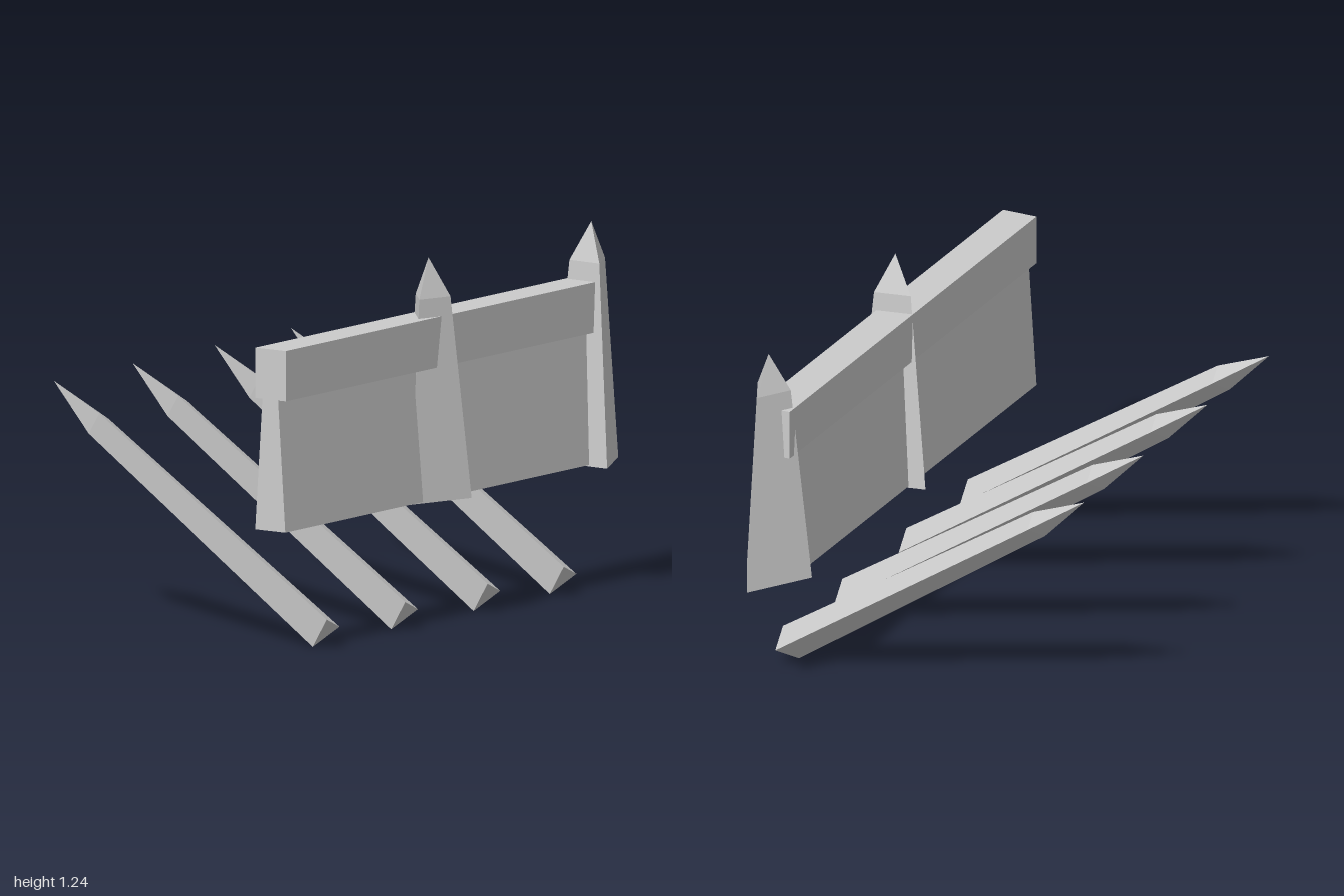
import * as THREE from 'three';

const material = new THREE.MeshStandardMaterial({ color: 0xcccccc, flatShading: true });

// Three-sided stake: tapered shaft with a pointed tip, standing on its base
function stake(name, radius, topScale, shoulder, height, turn) {
  const profile = [[0, 0], [radius, 0], [radius * topScale, shoulder], [0, height]]
    .map(([x, y]) => new THREE.Vector2(x, y));
  const geometry = new THREE.LatheGeometry(profile, 3, THREE.MathUtils.degToRad(turn));
  const mesh = new THREE.Mesh(geometry, material);
  mesh.name = name;
  return mesh;
}

// Beam along x with a (z, y) cross-section
function beam(name, section, xMin, xMax) {
  const shape = new THREE.Shape(section.map(([z, y]) => new THREE.Vector2(z, y)));
  const geometry = new THREE.ExtrudeGeometry(shape, { depth: xMax - xMin, bevelEnabled: false });
  geometry.rotateY(-Math.PI / 2).translate(xMax, 0, 0);
  const mesh = new THREE.Mesh(geometry, material);
  mesh.name = name;
  return mesh;
}

export function createModel() {
  const model = new THREE.Group();
  model.name = 'spikedBarricade';

  // Wall panel, thicker at the foot, under a square top rail
  model.add(beam('wallPanel', [[0.4, 0.425], [0.525, 0.425], [0.495, 0.88], [0.43, 0.88]], -1, 0.85));
  model.add(beam('topRail', [[0.4, 0.877], [0.527, 0.877], [0.527, 1.05], [0.4, 1.05]], -1, 0.85));

  // Upright posts: one mid-wall, one at the end, turned differently
  for (const [name, x, turn] of [['middlePost', -0.1, 41], ['endPost', 0.85, 87]]) {
    const post = stake(name, 0.147, 0.51, 0.695, 0.83, turn);
    post.position.set(x, 0.42, 0.48);
    model.add(post);
  }

  // Row of slanted spikes pointing to the back
  const spikes = new THREE.Group();
  spikes.name = 'spikes';
  for (const x of [-0.785, -0.325, 0.155, 0.6]) {
    const spike = stake('spike', 0.071, 0.74, 1.14, 1.365, 84);
    spike.position.set(x, 0.06, 0.542);
    spike.rotation.x = -0.985;
    spikes.add(spike);
  }
  model.add(spikes);

  return model;
}
